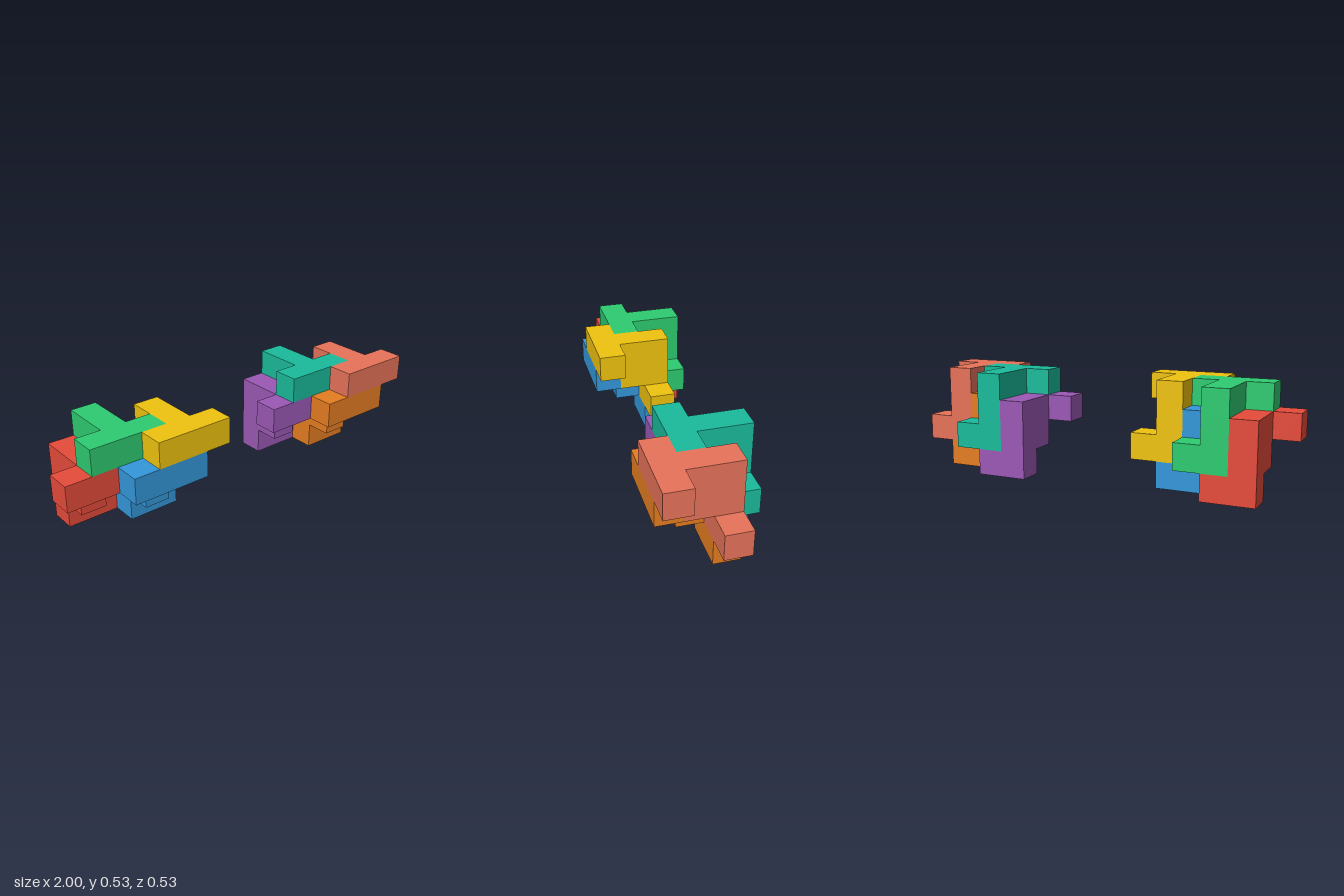
import * as THREE from 'three';
import { mergeGeometries } from 'three/addons/utils/BufferGeometryUtils.js';

const U = 2 / 15; // edge of one unit cube

// One puzzle piece as unit cells: a stepped plate, a top crossbar and a foot
const CELLS = [
  [0, 3, 3], [0, 3, 2], [0, 3, 1], [0, 2, 2], [0, 2, 1], [0, 1, 1], // stepped plate
  [-1, 3, 3], [1, 3, 3], // crossbar ends
  [1, 1, 1], // foot
];

const DIRECTIONS = [[1, 0, 0], [-1, 0, 0], [0, 1, 0], [0, -1, 0], [0, 0, 1], [0, 0, -1]];

// Outer skin of the cells: one square wherever a cell has no neighbour
function pieceGeometry() {
  const filled = new Set(CELLS.map(String));
  const squares = [];
  for (const [x, y, z] of CELLS) {
    for (const [dx, dy, dz] of DIRECTIONS) {
      if (filled.has(String([x + dx, y + dy, z + dz]))) continue;
      const square = new THREE.PlaneGeometry(U, U);
      square.lookAt(new THREE.Vector3(dx, dy, dz));
      square.translate((x + dx / 2) * U, (y + 0.5 + dy / 2) * U, (z - 1.5 + dz / 2) * U);
      squares.push(square);
    }
  }
  return mergeGeometries(squares);
}

// Shift of each interlocking piece, in cells
const PIECES = [
  { name: 'frontUpperPiece', shift: [0, 0, 0] },
  { name: 'frontLowerPiece', shift: [-1, -1, 0] },
  { name: 'backUpperPiece', shift: [-2, 0, -1] },
  { name: 'backLowerPiece', shift: [-3, -1, -1] },
];

// The two identical clusters; x is the centre of the first piece's plate, in cells
const CLUSTERS = [
  { name: 'rightCluster', x: -3, colors: [0xf1c40f, 0x3498db, 0x2ecc71, 0xe74c3c] },
  { name: 'leftCluster', x: 6, colors: [0xe8735a, 0xe67e22, 0x1abc9c, 0x9b59b6] },
];

export function createModel() {
  const model = new THREE.Group();
  model.name = 'interlockingPieces';
  const geometry = pieceGeometry();

  for (const { name, x, colors } of CLUSTERS) {
    const cluster = new THREE.Group();
    cluster.name = name;
    cluster.position.x = x * U;
    PIECES.forEach((piece, i) => {
      const material = new THREE.MeshStandardMaterial({ color: colors[i] });
      const mesh = new THREE.Mesh(geometry, material);
      mesh.name = piece.name;
      mesh.position.fromArray(piece.shift).multiplyScalar(U);
      cluster.add(mesh);
    });
    model.add(cluster);
  }
  return model;
}
